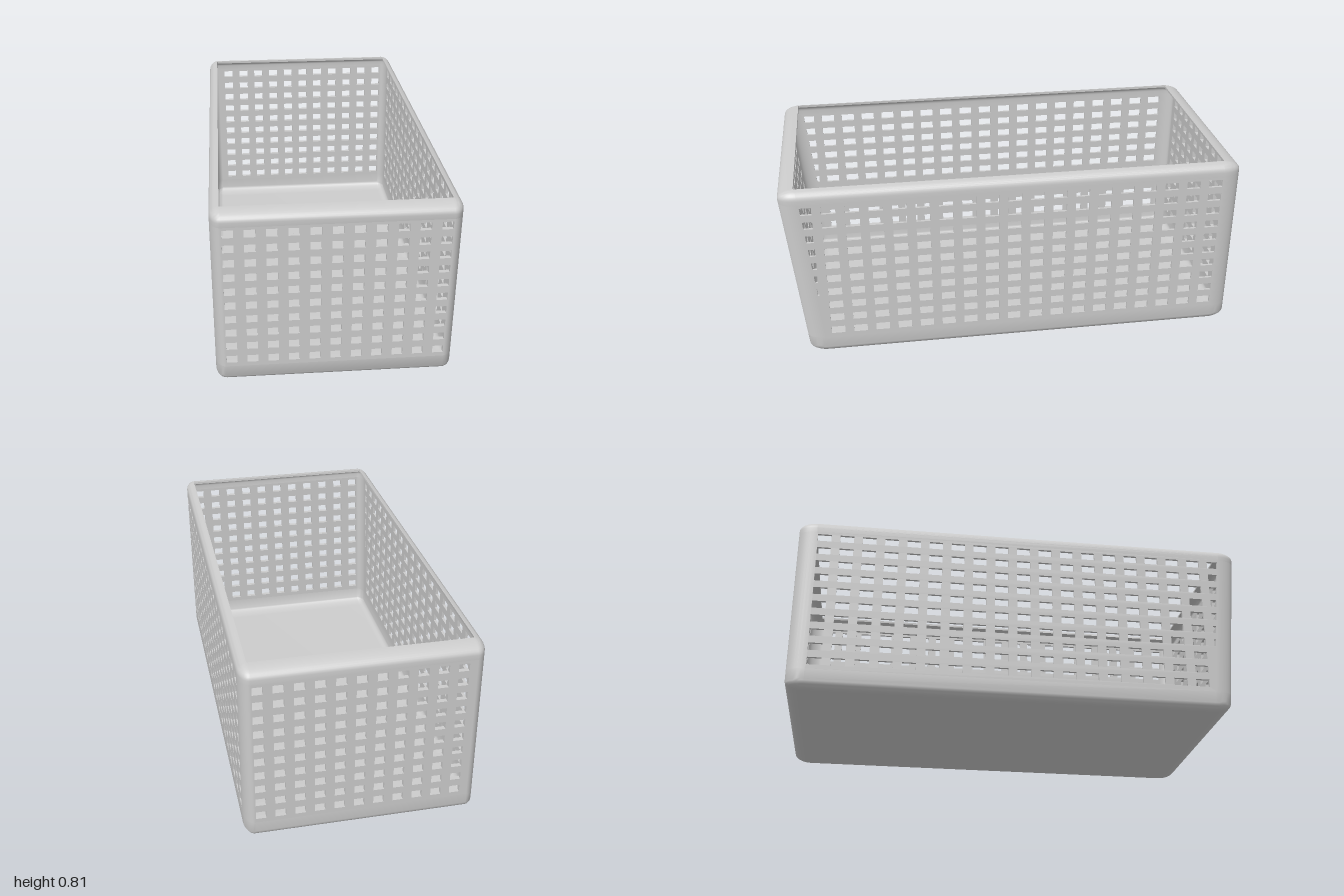
import * as THREE from 'three';
import { toCreasedNormals } from 'three/addons/utils/BufferGeometryUtils.js';

const W = 0.494, L = 1, H = 0.81;             // outer half width, half length, height
const RX = 0.044, RY = 0.04, RZ = 0.08;       // edge rounding along each axis
const INNER = 0.75;                           // inner rounding as a share of the outer
const TX = RX * (1 - INNER), TZ = RZ * (1 - INNER); // wall thickness of sides and ends
const Y0 = 0.085, Y1 = 0.75;                  // perforated band
const ROWS = 10, ROW0 = 0.104, ROW_STEP = 0.0667, HOLE_H = 0.034;
const SLOPE = 0.1;                            // lean of the front wall
const material = new THREE.MeshStandardMaterial({ color: 0xcccccc, side: THREE.DoubleSide });

const leanAt = (y) => SLOPE * (y - H + RY);

// lean everything in the front half outwards towards the top
function lean(geo) {
  const p = geo.attributes.position;
  for (let i = 0; i < p.count; i++) {
    if (p.getZ(i) > 0) p.setZ(i, p.getZ(i) + leanAt(p.getY(i)));
  }
  return geo;
}

function add(group, name, geo) {
  const mesh = new THREE.Mesh(geo, material);
  mesh.name = name;
  group.add(mesh);
}

// rounded rectangle at height y; k scales the corner rounding (1 = outer face)
const SEG = 8;
function ring(k, y) {
  const pts = [];
  for (let c = 0; c < 4; c++) {
    const sx = c === 0 || c === 3 ? 1 : -1, sz = c < 2 ? 1 : -1;
    for (let i = 0; i <= SEG; i++) {
      const a = (c + i / SEG) * Math.PI / 2;
      pts.push([sx * (W - RX) + Math.cos(a) * RX * k, y, sz * (L - RZ) + Math.sin(a) * RZ * k]);
    }
  }
  return pts;
}

// rings that curve from the wall inwards; dir 1 = top edge, -1 = bottom edge
function arc(k, dir, kEnd) {
  const yc = dir > 0 ? H - RY : RY, end = Math.acos(kEnd / k), rings = [];
  for (let i = 0; i <= 8; i++) {
    const a = end * i / 8;
    rings.push(ring(k * Math.cos(a), yc + dir * RY * k * Math.sin(a)));
  }
  return rings;
}

// skin a series of rings
function loft(rings) {
  const n = rings[0].length, index = [];
  for (let r = 0; r < rings.length - 1; r++) {
    for (let i = 0; i < n; i++) {
      const a = r * n + i, b = r * n + (i + 1) % n;
      index.push(a, a + n, b, b, a + n, b + n);
    }
  }
  const geo = new THREE.BufferGeometry();
  geo.setAttribute('position', new THREE.Float32BufferAttribute(rings.flat(2), 3));
  geo.setIndex(index);
  return toCreasedNormals(lean(geo), 0.6);
}

function polygon(points, Type) {
  return new Type(points.map(([x, y]) => new THREE.Vector2(x, y)));
}

// wall plate with rows of holes; columns are [start, end], limit(y) clips them
function plate(outline, columns, depth, limit) {
  const shape = polygon(outline, THREE.Shape);
  for (let r = 0; r < ROWS; r++) {
    const lo = ROW0 + r * ROW_STEP, hi = lo + HOLE_H;
    for (const [a, b] of columns) {
      const bl = Math.min(b, limit(lo)), bh = Math.min(b, limit(hi));
      if (bl - a < 0.004) continue;
      shape.holes.push(polygon([[a, lo], [a, hi], [bh, hi], [bl, lo]], THREE.Path));
    }
  }
  return new THREE.ExtrudeGeometry(shape, { depth, bevelEnabled: false });
}

function columns(count, start, step, width) {
  return Array.from({ length: count }, (_, i) => [start + i * step, start + i * step + width]);
}

export function createModel() {
  const basket = new THREE.Group();
  basket.name = 'basket';

  // tray: thin floor curving up into a low curb, filleted inside
  const centre = (y) => ring(0, y).map(() => [0, y, -0.04]);
  add(basket, 'tray', loft([
    centre(0), ...arc(1, -1, 0).reverse(), ring(1, Y0),
    ring(INNER, Y0), ...arc(INNER, -1, 0), centre(RY * (1 - INNER)),
  ]));

  // rim: thin band curling inwards round the opening
  const LIP = 0.1;
  add(basket, 'rim', loft([
    ring(INNER, Y1), ring(1, Y1), ...arc(1, 1, LIP), ...arc(INNER, 1, LIP).reverse(), ring(INNER, Y1),
  ]));

  // rounded corner posts, outer and inner faces
  for (let k = 0; k < 4; k++) {
    for (const [name, s] of [['cornerOuter', 1], ['cornerInner', INNER]]) {
      const geo = new THREE.CylinderGeometry(s, s, Y1 - Y0, SEG, 1, true, k * Math.PI / 2, Math.PI / 2);
      geo.scale(RX, 1, RZ);
      geo.translate(k < 2 ? W - RX : RX - W, (Y0 + Y1) / 2, k === 0 || k === 3 ? L - RZ : RZ - L);
      add(basket, name, lean(geo));
    }
  }

  // long side walls, ending along the leaning front corners
  const flatEnd = (y) => L - RZ + leanAt(y);
  const sideOutline = [[RZ - L, Y0], [flatEnd(Y0), Y0], [flatEnd(Y1), Y1], [RZ - L, Y1]];
  const sideColumns = columns(19, -0.915, 0.0988, 0.06);
  for (const [name, x] of [['leftWall', W], ['rightWall', TX - W]]) {
    const geo = plate(sideOutline, sideColumns, TX, (y) => flatEnd(y) - 0.004);
    geo.rotateY(-Math.PI / 2);
    geo.translate(x, 0, 0);
    add(basket, name, geo);
  }

  // end walls: leaning front and upright back
  const e = W - RX;
  const endOutline = [[-e, Y0], [e, Y0], [e, Y1], [-e, Y1]];
  const ends = [['frontWall', -0.448, 0.085, L - TZ], ['backWall', -0.417, 0.0822, -L]];
  for (const [name, start, step, z] of ends) {
    const geo = plate(endOutline, columns(11, start, step, 0.0445), TZ, () => e - 0.002);
    geo.translate(0, 0, z);
    add(basket, name, lean(geo));
  }

  return basket;
}
